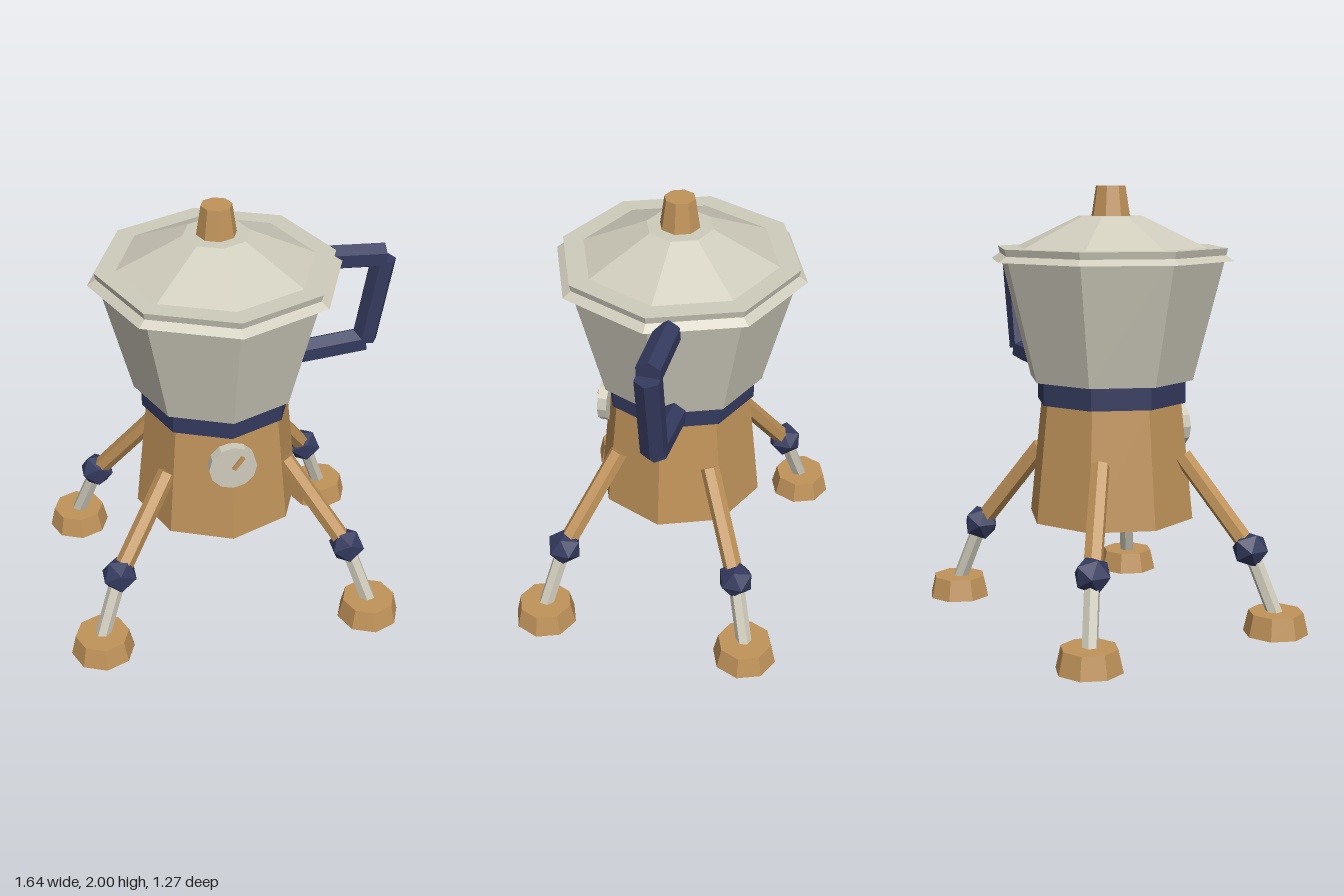
import * as THREE from 'three';

const material = (name, color) => {
  const m = new THREE.MeshStandardMaterial({ color, flatShading: true });
  m.name = name;
  return m;
};

export function createModel() {
  const brown = material('copper brown', 0xc0935a);
  const grey = material('warm grey', 0xcfccbc);
  const navy = material('dark navy', 0x343a5e);

  const model = new THREE.Group();
  model.name = 'stovetopPot';
  const AXIS = -0.034; // the pot's axis sits off centre to make room for the handle

  const add = (parent, name, geometry, mat) => {
    const mesh = new THREE.Mesh(geometry, mat);
    mesh.name = name;
    parent.add(mesh);
    return mesh;
  };

  // Eight-sided tapered ring between two heights
  const octagon = (parent, name, mat, y0, r0, y1, r1) => {
    const mesh = add(parent, name, new THREE.CylinderGeometry(r1, r0, y1 - y0, 8), mat);
    mesh.position.y = (y0 + y1) / 2;
    return mesh;
  };

  // Six-sided bar between two points
  const bar = (parent, name, mat, a, b, r, turn = 0) => {
    const from = new THREE.Vector3(...a);
    const dir = new THREE.Vector3(...b).sub(from);
    const length = dir.length();
    const mesh = add(parent, name, new THREE.CylinderGeometry(r, r, length, 6, 1, false, turn), mat);
    mesh.position.copy(from).addScaledVector(dir, 0.5);
    mesh.quaternion.setFromUnitVectors(new THREE.Vector3(0, 1, 0), dir.normalize());
    return mesh;
  };

  // Body, stacked from the boiler up to the knob
  const body = new THREE.Group();
  body.name = 'body';
  body.position.x = AXIS;
  model.add(body);
  octagon(body, 'boiler', brown, 0.48, 0.39, 1.02, 0.333);
  octagon(body, 'collar', navy, 1.02, 0.352, 1.125, 0.352);
  octagon(body, 'jug', grey, 1.125, 0.386, 1.725, 0.54);
  octagon(body, 'rimFlange', grey, 1.668, 0.571, 1.695, 0.53);
  octagon(body, 'lid', grey, 1.725, 0.445, 1.865, 0.15);
  octagon(body, 'knob', brown, 1.865, 0.09, 2.0, 0.069);

  // Dial with its pointer on the front edge of the boiler
  const dial = add(body, 'dial', new THREE.CylinderGeometry(0.11, 0.11, 0.045, 12), grey);
  dial.rotation.x = Math.PI / 2;
  dial.position.set(0, 0.877, 0.354);
  const pointer = add(body, 'dialPointer', new THREE.BoxGeometry(0.018, 0.075, 0.016), brown);
  pointer.position.set(0.023, 0.905, 0.382);
  pointer.rotation.z = -0.63;

  // Handle of three bars
  const handle = new THREE.Group();
  handle.name = 'handle';
  handle.position.z = -0.087;
  model.add(handle);
  const R = 0.06, TURN = Math.PI / 6;
  bar(handle, 'handleTop', navy, [0.46, 1.646, 0], [0.757, 1.632, 0], R, TURN);
  bar(handle, 'handleGrip', navy, [0.758, 1.618, 0], [0.688, 1.2, 0], R, TURN);
  bar(handle, 'handleBottom', navy, [0.685, 1.193, 0], [0.382, 1.162, 0], R, TURN);

  // Four splayed legs with knee joints and feet
  for (const sx of [-1, 1]) {
    for (const sz of [-1, 1]) {
      const leg = new THREE.Group();
      leg.name = (sz > 0 ? 'front' : 'back') + (sx > 0 ? 'Left' : 'Right') + 'Leg';
      leg.position.x = AXIS;
      model.add(leg);
      const hip = [sx * 0.275, 0.78, sz * 0.218];
      const knee = [sx * 0.54, 0.375, sz * 0.413];
      const ankle = [sx * 0.645, 0.07, sz * 0.488];
      bar(leg, 'upperLeg', brown, hip, knee, 0.043);
      bar(leg, 'lowerLeg', grey, knee, ankle, 0.036);
      add(leg, 'knee', new THREE.IcosahedronGeometry(0.086, 0), navy).position.set(...knee);
      const foot = octagon(leg, 'foot', brown, 0, 0.148, 0.1, 0.125);
      foot.position.x = sx * 0.641;
      foot.position.z = sz * 0.487;
    }
  }
  return model;
}
